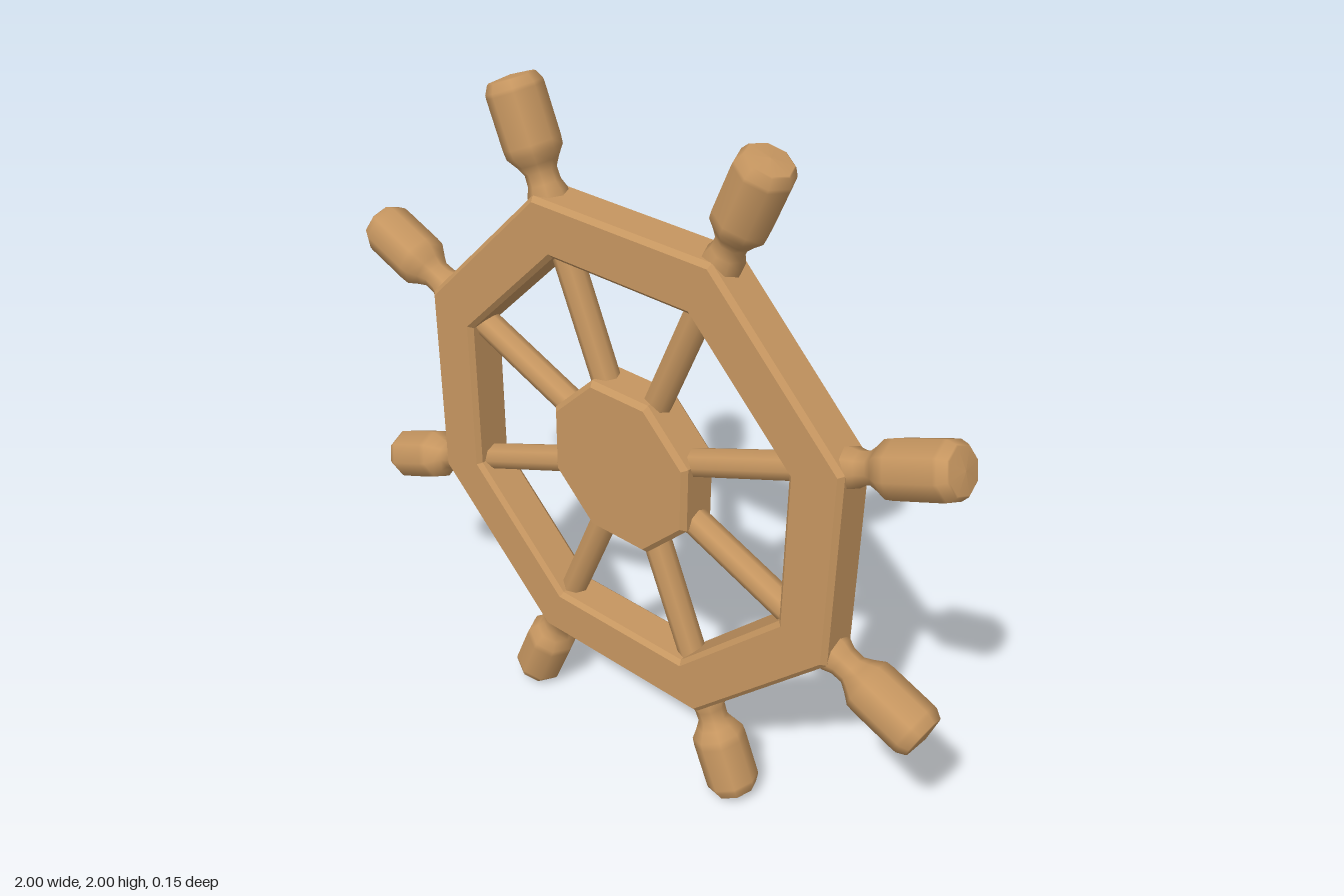
import * as THREE from 'three';

const SIDES = 8;
const DEPTH = 0.126;

// Regular octagon with flat top, sized by its apothem
function octagon(target, apothem) {
  const r = apothem / Math.cos(Math.PI / SIDES);
  const pts = [];
  for (let i = 0; i < SIDES; i++) {
    const a = ((i + 0.5) / SIDES) * Math.PI * 2;
    pts.push(new THREE.Vector2(r * Math.cos(a), r * Math.sin(a)));
  }
  target.setFromPoints(pts);
  return target;
}

// Bevelled plate centred on z = 0
function plate(shape, depth, bevel) {
  const geo = new THREE.ExtrudeGeometry(shape, {
    depth: depth - 2 * bevel,
    bevelEnabled: true,
    bevelSegments: 1,
    bevelSize: bevel,
    bevelThickness: bevel,
    bevelOffset: -bevel,
  });
  geo.translate(0, 0, -depth / 2 + bevel);
  return geo;
}

export function createModel() {
  const wood = new THREE.MeshStandardMaterial({ color: 0xc69660 });
  wood.name = 'wood';
  const wheel = new THREE.Group();
  wheel.name = 'wheel';

  const add = (name, geo, parent = wheel) => {
    const mesh = new THREE.Mesh(geo, wood);
    mesh.name = name;
    parent.add(mesh);
    return mesh;
  };

  // Rim
  const rim = octagon(new THREE.Shape(), 0.705);
  rim.holes.push(octagon(new THREE.Path(), 0.55));
  add('rim', plate(rim, DEPTH, 0.013));

  // Hub
  add('hub', plate(octagon(new THREE.Shape(), 0.236), DEPTH, 0.014));

  // Spokes and turned handles, one through each rim corner
  const spokeGeo = new THREE.CylinderGeometry(0.04, 0.04, 0.5, 8, 1, true);
  spokeGeo.translate(0, 0.45, 0);
  const profile = [
    [0.69, 0.055], [0.755, 0.054], [0.78, 0.044], [0.812, 0.043],
    [0.835, 0.056], [0.862, 0.075], [0.885, 0.077], [1.02, 0.077],
    [1.03, 0.076], [1.052, 0.064], [1.055, 0.06], [1.061, 0],
  ].map(([y, r]) => new THREE.Vector2(r, y));
  const handleGeo = new THREE.LatheGeometry(profile, 8);

  for (let i = 0; i < SIDES; i++) {
    const arm = new THREE.Group();
    arm.name = 'arm';
    arm.rotation.z = ((i + 0.5) / SIDES) * Math.PI * 2;
    add('spoke', spokeGeo, arm);
    add('handle', handleGeo, arm);
    wheel.add(arm);
  }

  wheel.position.y = 1;
  const model = new THREE.Group();
  model.name = 'shipWheel';
  model.add(wheel);
  return model;
}
